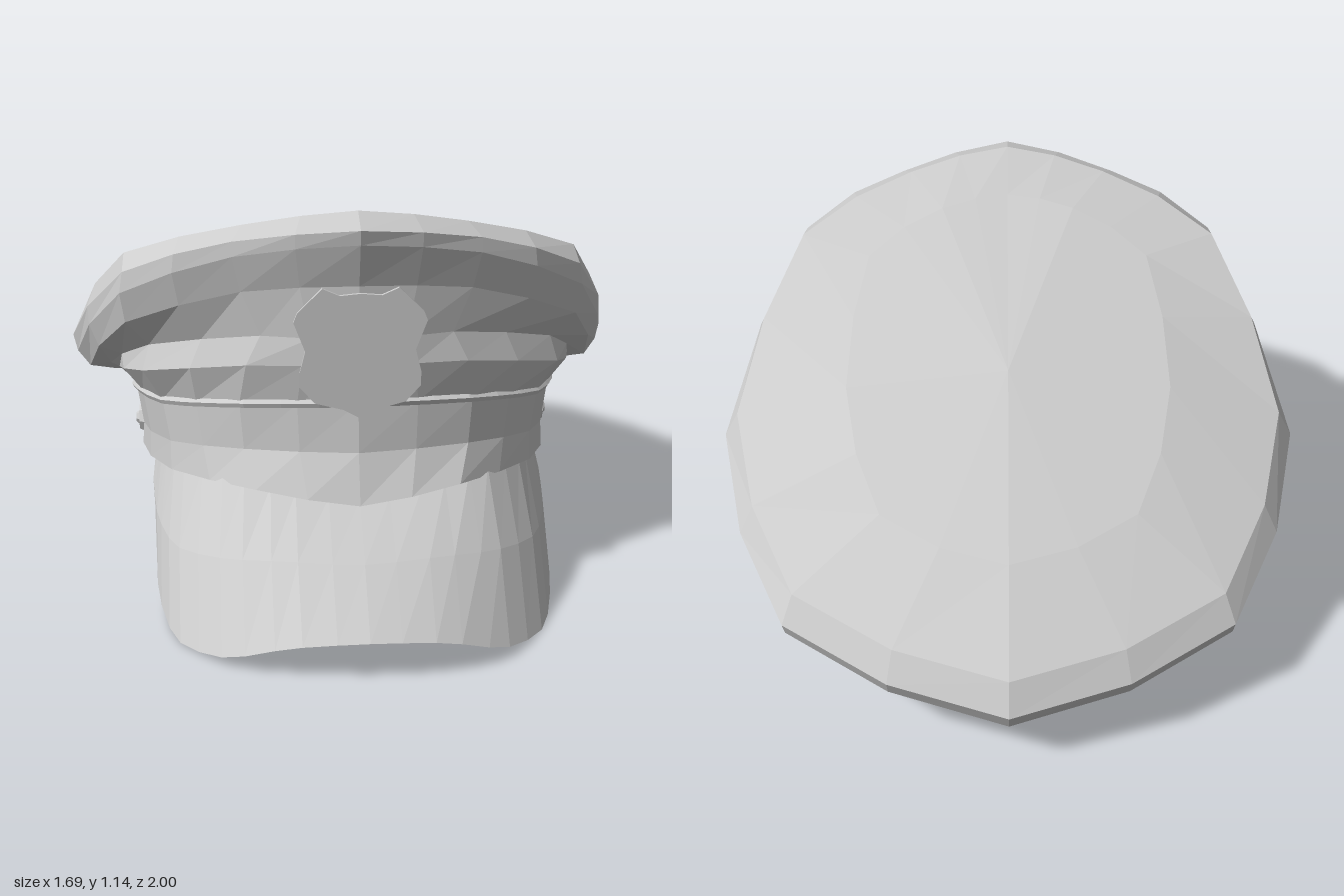
import * as THREE from 'three';

const cloth = new THREE.MeshStandardMaterial({ color: 0xcccccc, flatShading: true, side: THREE.DoubleSide });
cloth.name = 'lightGrey';

const SEG = 20;

// Half outline (front to back on +x) -> closed curve, mirrored to -x
function closedRing(half) {
  const right = half.map(p => new THREE.Vector3(...p));
  const left = right.slice(1, -1).reverse().map(p => new THREE.Vector3(-p.x, p.y, p.z));
  return new THREE.CatmullRomCurve3([...right, ...left], true, 'catmullrom', 0.34);
}
const sampleRing = half => {
  const curve = closedRing(half);
  return Array.from({ length: SEG }, (_, i) => curve.getPoint(i / SEG));
};

// Open edge: half outline from the centre to the +x end, mirrored to run from -x to +x
function openEdge(half) {
  const right = half.map(p => new THREE.Vector3(...p));
  const left = right.slice(1).reverse().map(p => new THREE.Vector3(-p.x, p.y, p.z));
  const curve = new THREE.CatmullRomCurve3([...left, ...right], false, 'catmullrom', 0.4);
  return Array.from({ length: 25 }, (_, i) => curve.getPoint(i / 24));
}

// Skin a stack of equal-length point rows, optionally closed around and capped by a centre point
function loft(name, rows, closed, tip) {
  const n = rows[0].length;
  const pos = rows.flat().flatMap(p => [p.x, p.y, p.z]);
  const index = [];
  const last = closed ? n : n - 1;
  for (let j = 0; j < rows.length - 1; j++) {
    for (let i = 0; i < last; i++) {
      const a = j * n + i, b = j * n + (i + 1) % n;
      index.push(a, b, b + n, a, b + n, a + n);
    }
  }
  if (tip) {
    const base = (rows.length - 1) * n;
    pos.push(...tip);
    for (let i = 0; i < n; i++) index.push(base + i, base + (i + 1) % n, base + n);
  }
  const g = new THREE.BufferGeometry();
  g.setAttribute('position', new THREE.Float32BufferAttribute(pos, 3));
  g.setIndex(index);
  g.computeVertexNormals();
  return makeMesh(name, g);
}

function makeMesh(name, geometry) {
  const m = new THREE.Mesh(geometry, cloth);
  m.name = name;
  return m;
}

// Band outlines, each: front, front quarter, front side, side, back quarter, back
const bandBottom = [[0, .35, .675], [.28, .38, .615], [.52, .34, .37], [.625, .27, 0], [.45, .16, -.46], [0, .08, -.66]];
const bandMiddle = [[0, .48, .615], [.31, .47, .54], [.52, .42, .35], [.62, .34, 0], [.45, .2, -.47], [0, .13, -.635]];
const bandTop = [[0, .62, .6], [.32, .6, .53], [.54, .54, .33], [.64, .47, -.02], [.48, .32, -.52], [0, .25, -.72]];

// Crown outlines from the band seam, over the rim, to the inner top
const crownRings = [
  bandTop,
  [[0, .73, .615], [.3, .72, .56], [.59, .64, .36], [.69, .51, -.04], [.54, .31, -.56], [0, .26, -.79]],
  [[0, .8, .615], [.26, .8, .55], [.57, .71, .34], [.72, .51, -.08], [.57, .29, -.61], [0, .23, -.85]],
  [[0, .95, .61], [.31, .92, .54], [.63, .79, .38], [.79, .48, -.14], [.61, .27, -.67], [0, .17, -.9]],
  [[0, 1.07, .648], [.33, 1.02, .555], [.64, .88, .4], [.83, .52, -.17], [.63, .28, -.71], [0, .18, -.965]],
  [[0, 1.11, .655], [.33, 1.06, .55], [.63, .94, .4], [.843, .57, -.18], [.63, .34, -.74], [0, .25, -1]],
  [[0, 1.14, .56], [.3, 1.09, .49], [.63, .97, .31], [.8, .65, -.18], [.6, .42, -.7], [0, .34, -.95]],
  [[0, 1.07, .38], [.2, 1.05, .33], [.42, .96, .2], [.47, .76, -.2], [.36, .58, -.55], [0, .53, -.7]],
];

// Visor edges from the centre to the side
const visorInner = [[0, .355, .65], [.2, .375, .61], [.36, .39, .53], [.49, .35, .38], [.55, .33, .22], [.578, .3, .1]];
const visorOuter = [[0, .12, 1], [.2, .1, .975], [.37, .035, .9], [.5, .003, .75], [.56, .035, .54], [.575, .14, .3]];

function makeVisor() {
  const inner = openEdge(visorInner), outer = openEdge(visorOuter);
  const middle = inner.map((p, i) => p.clone().lerp(outer[i], .5).add(new THREE.Vector3(p.x * .015, .015, 0)));
  const lower = row => row.map(p => new THREE.Vector3(p.x * .975, p.y + .002, p.z - .018));
  return loft('visor', [lower(inner), lower(middle), lower(outer), outer, middle, inner], false);
}

// Shield-shaped plate standing in front of the crown
function makeBadge() {
  const half = [[0, .6], [.045, .625], [.12, .645], [.16, .69], [.16, .73], [.145, .79],
    [.175, .87], [.165, .895], [.1, .96], [.055, .94], [0, .945]];
  const outline = [...half, ...half.slice(1, -1).reverse().map(([x, y]) => [-x, y])];
  const shape = new THREE.Shape(outline.map(p => new THREE.Vector2(...p)));
  const g = new THREE.ExtrudeGeometry(shape, { depth: .009, bevelEnabled: false });
  g.translate(0, 0, .651);
  return makeMesh('badge', g);
}

function makeButton(side) {
  const button = new THREE.Group();
  button.name = side > 0 ? 'leftButton' : 'rightButton';
  const disc = makeMesh('buttonDisc', new THREE.CylinderGeometry(.038, .048, .02, 7));
  const knob = makeMesh('buttonKnob', new THREE.CylinderGeometry(.014, .024, .012, 6));
  knob.position.y = .015;
  button.add(disc, knob);
  button.rotation.z = -side * Math.PI / 2;
  button.position.set(side * .625, .34, -.04);
  return button;
}

export function createModel() {
  const cap = new THREE.Group();
  cap.name = 'peakedCap';

  // Soft hollow crown
  cap.add(loft('crown', crownRings.map(sampleRing), true, [0, .82, -.2]));

  // Open band and the piping along its upper seam
  cap.add(loft('band', [bandBottom, bandMiddle, bandTop].map(sampleRing), true));
  cap.add(makeMesh('bandPiping', new THREE.TubeGeometry(closedRing(bandTop), 40, .012, 5, true)));

  // Visor, badge and side buttons
  cap.add(makeVisor(), makeBadge(), makeButton(1), makeButton(-1));
  return cap;
}
